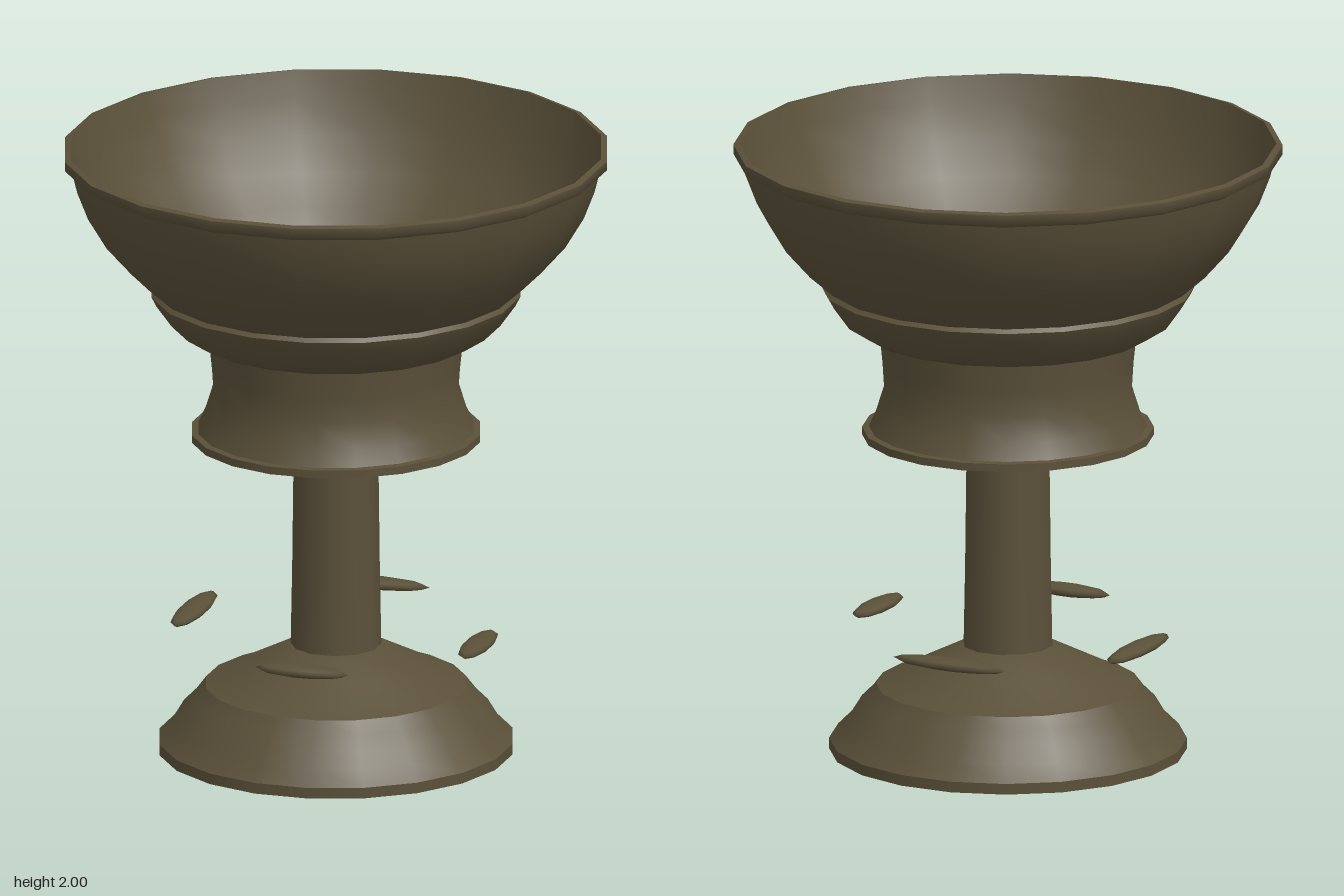
import * as THREE from 'three';

const SIDES = 20;

export function createModel() {
  const root = new THREE.Group();
  root.name = 'goblet';
  const bronze = new THREE.MeshStandardMaterial({ color: 0x5a5039, side: THREE.DoubleSide });
  bronze.name = 'dark bronze';

  // One turned part: each profile is smooth, edges between profiles stay sharp
  function turned(name, profiles, sides = SIDES) {
    const part = new THREE.Group();
    part.name = name;
    profiles.forEach((profile, i) => {
      const points = profile.map(([r, y]) => new THREE.Vector2(r, y));
      const mesh = new THREE.Mesh(new THREE.LatheGeometry(points, sides), bronze);
      mesh.name = `${name}Section${i + 1}`;
      part.add(mesh);
    });
    root.add(part);
  }

  // Stepped foot
  turned('foot', [
    [[0, 0.01], [0.57, 0.005]],
    [[0.57, 0.005], [0.57, 0.04]],
    [[0.57, 0.04], [0.52, 0.09], [0.49, 0.14], [0.45, 0.18], [0.42, 0.22]],
    [[0.42, 0.22], [0.37, 0.24], [0.26, 0.295], [0.15, 0.35], [0.1, 0.355]],
  ]);

  // Tapered stem
  turned('stem', [[[0.145, 0.34], [0.14, 0.6], [0.135, 1.01]]], 12);

  // Flange under the neck
  turned('flange', [
    [[0, 1.0], [0.22, 1.0], [0.46, 1.04]],
    [[0.465, 1.04], [0.465, 1.065]],
    [[0.465, 1.065], [0.43, 1.07]],
  ]);

  // Waisted neck, collar and bowl
  turned('neck', [[[0.445, 1.065], [0.42, 1.12], [0.395, 1.2], [0.4, 1.28], [0.41, 1.375]]]);
  turned('collar', [
    [[0.405, 1.37], [0.46, 1.385], [0.53, 1.43], [0.58, 1.5], [0.595, 1.53]],
    [[0.595, 1.53], [0.58, 1.545]],
  ]);
  turned('bowl', [
    [[0.58, 1.54], [0.66, 1.61], [0.74, 1.7], [0.8, 1.8], [0.835, 1.89], [0.85, 1.95]],
    [[0.85, 1.95], [0.875, 1.965], [0.875, 1.995]],
    [[0.875, 1.995], [0.855, 2.0]],
  ]);

  // Hollow inside, following the outer shape down to a flat floor
  turned('interior', [
    [[0.855, 2.0], [0.83, 1.92], [0.785, 1.8], [0.72, 1.7], [0.64, 1.61], [0.56, 1.53],
      [0.51, 1.44], [0.45, 1.4], [0.395, 1.37], [0.382, 1.28], [0.377, 1.2], [0.405, 1.11], [0.425, 1.075]],
    [[0.43, 1.07], [0, 1.06]],
  ]);

  // Four thin leaves hovering around the stem, the back pair longer
  for (const sx of [1, -1]) {
    for (const sz of [1, -1]) {
      const half = sz > 0 ? 0.155 : 0.2;
      const leaf = new THREE.Mesh(new THREE.SphereGeometry(1, 10, 6), bronze);
      leaf.name = (sz > 0 ? 'front' : 'back') + (sx > 0 ? 'Left' : 'Right') + 'Leaf';
      leaf.scale.set(half, 0.02, 0.045);
      leaf.position.set(sx * 0.315, 0.405, sz * 0.38);
      leaf.rotation.y = sx * sz * Math.PI / 4;
      root.add(leaf);
    }
  }

  root.scale.z = 0.99;
  return root;
}
